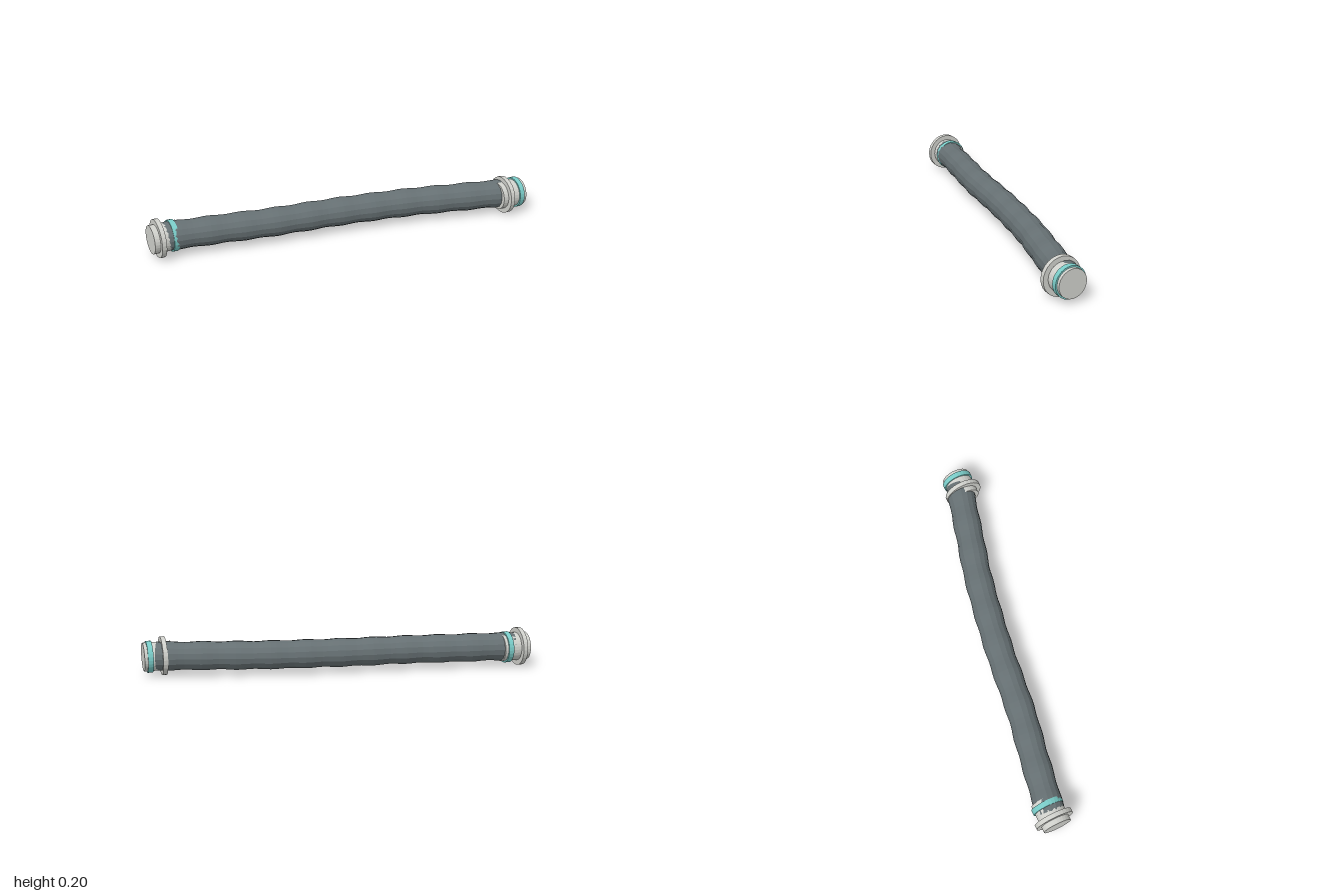
import * as THREE from 'three';

const paleMetal = new THREE.MeshStandardMaterial({ color: 0xd0d1cc });
paleMetal.name = 'pale metal';
const tealSeal = new THREE.MeshStandardMaterial({ color: 0x7accc8 });
tealSeal.name = 'teal seal';
const greyRubber = new THREE.MeshStandardMaterial({ color: 0x667073 });
greyRubber.name = 'grey rubber';

const AXIS_Y = 0.101;

// Flat faceted copy of a geometry
function faceted(geometry) {
  const flat = geometry.toNonIndexed();
  flat.computeVertexNormals();
  return flat;
}

// Solid disc lying along x, from start to end
function disc(name, radius, start, end, material) {
  const geometry = new THREE.CylinderGeometry(radius, radius, end - start, 28);
  geometry.rotateZ(-Math.PI / 2);
  geometry.translate((start + end) / 2, 0, 0);
  const mesh = new THREE.Mesh(faceted(geometry), material);
  mesh.name = name;
  return mesh;
}

// End fitting: sleeve with a wide flange and a teal sealing band
function coupling(name, x, z) {
  const group = new THREE.Group();
  group.name = name;
  group.add(
    disc('sleeve', 0.075, 0, 0.145, paleMetal),
    disc('flange', 0.101, 0.029, 0.053, paleMetal),
    disc('sealBand', 0.083, 0.1, 0.128, tealSeal)
  );
  group.position.set(x, AXIS_Y, z);
  return group;
}

// Gently rippled hose following an S-shaped path
function hose() {
  const path = new THREE.CatmullRomCurve3([
    [-0.93, -0.18], [-0.6, -0.123], [-0.4, -0.086], [0, -0.035],
    [0.4, 0.037], [0.6, 0.088], [0.93, 0.172]
  ].map(([x, z]) => new THREE.Vector3(x, AXIS_Y + 0.002, z)));
  const segments = 64, sides = 16;
  const geometry = new THREE.TubeGeometry(path, segments, 1, sides, false);
  const position = geometry.attributes.position;
  const point = new THREE.Vector3();
  for (let i = 0; i <= segments; i++) {
    const centre = path.getPointAt(i / segments);
    const radius = 0.0745 + 0.0025 * Math.cos(centre.x * Math.PI * 2 / 0.175);
    for (let j = 0; j <= sides; j++) {
      const k = i * (sides + 1) + j;
      point.fromBufferAttribute(position, k).sub(centre).multiplyScalar(radius).add(centre);
      position.setXYZ(k, point.x, point.y, point.z);
    }
  }
  const mesh = new THREE.Mesh(faceted(geometry), greyRubber);
  mesh.name = 'hose';
  return mesh;
}

export function createModel() {
  const model = new THREE.Group();
  model.name = 'flexibleHose';
  model.add(
    hose(),
    coupling('rightCoupling', -1, -0.178),
    coupling('leftCoupling', 0.855, 0.178)
  );
  return model;
}
